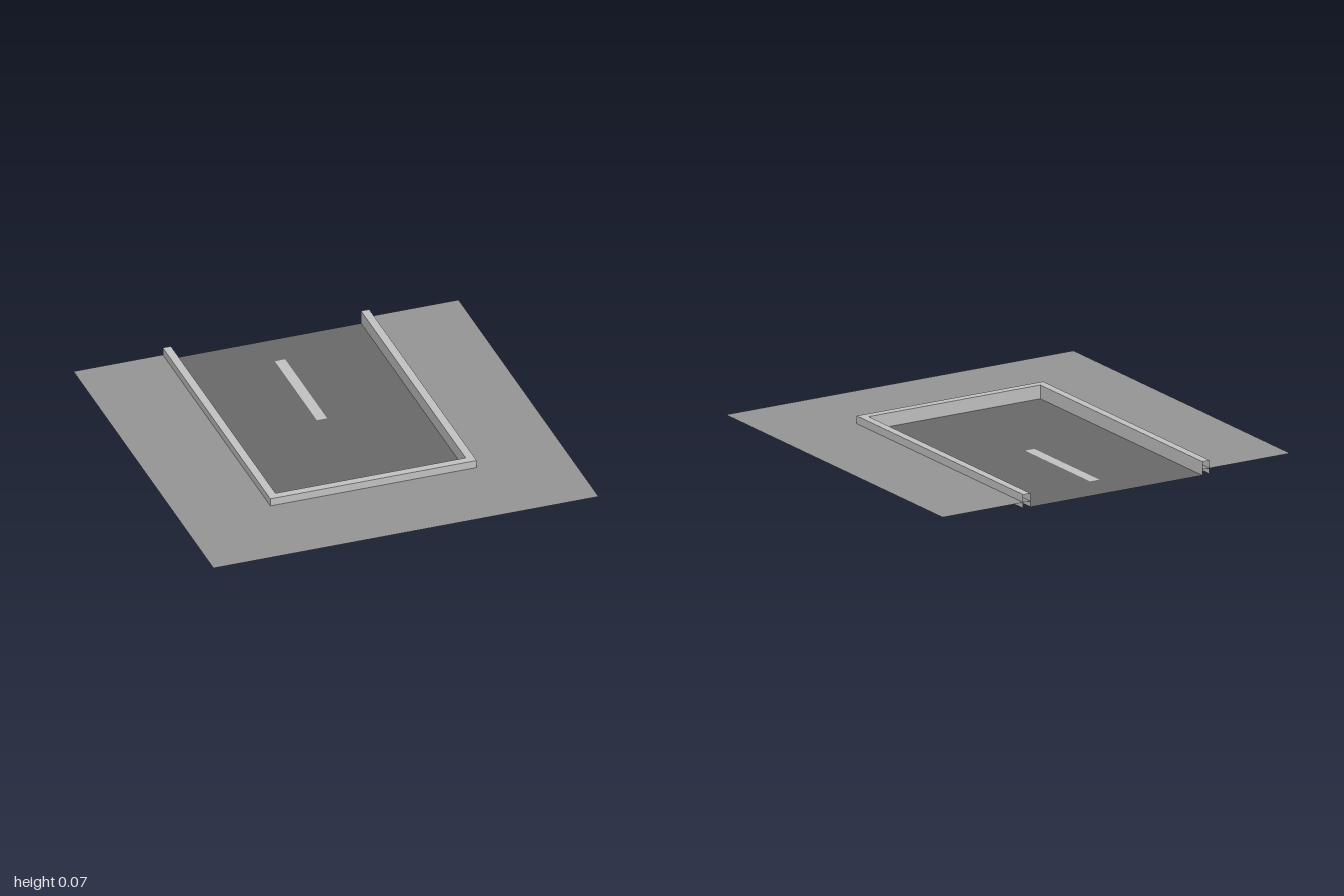
import * as THREE from 'three';

const OUTER = 0.536, INNER = 0.494, TOP = 0.07, GROUND = 0.03, BACK = -1;

function material(name, color) {
  const m = new THREE.MeshStandardMaterial({ color, side: THREE.DoubleSide });
  m.name = name;
  return m;
}

// U-shaped path around the road end, open at the back
const uPath = (h) => [[-h, BACK], [-h, h], [h, h], [h, BACK]];

// Sweeps a profile of [half width, height] pairs along the U path
function sweepU(profile) {
  const positions = [];
  for (let i = 0; i < profile.length - 1; i++) {
    const [h0, y0] = profile[i], [h1, y1] = profile[i + 1];
    const p = uPath(h0), q = uPath(h1);
    for (let j = 0; j < 3; j++) {
      const a = [p[j][0], y0, p[j][1]], b = [p[j + 1][0], y0, p[j + 1][1]];
      const c = [q[j + 1][0], y1, q[j + 1][1]], d = [q[j][0], y1, q[j][1]];
      positions.push(...a, ...b, ...c, ...a, ...c, ...d);
    }
  }
  const g = new THREE.BufferGeometry();
  g.setAttribute('position', new THREE.Float32BufferAttribute(positions, 3));
  g.computeVertexNormals();
  return g;
}

// Flat sheet facing up, outlined by [x, z] points
function sheet(points, y) {
  const shape = new THREE.Shape(points.map(([x, z]) => new THREE.Vector2(x, -z)));
  return new THREE.ShapeGeometry(shape).rotateX(-Math.PI / 2).translate(0, y, 0);
}

const rect = (w, z0, z1) => [[-w, z0], [-w, z1], [w, z1], [w, z0]];

export function createModel() {
  const group = new THREE.Group();
  group.name = 'roadEnd';
  const pavement = material('pavement grey', 0x969696);
  const asphalt = material('asphalt grey', 0x6a6a6a);
  const light = material('light grey', 0xc4c4c4);

  const add = (name, geometry, mat) => {
    const mesh = new THREE.Mesh(geometry, mat);
    mesh.name = name;
    group.add(mesh);
  };

  // Raised pavement wrapping three sides of the road
  add('pavement', sheet([[-1, BACK], [-1, 1], [1, 1], [1, BACK], ...uPath(INNER).reverse()], GROUND), pavement);
  // Sunken road surface
  add('road', sheet(rect(INNER, BACK, INNER), 0), asphalt);
  // Hollow kerb: outer wall, top and inner wall
  add('kerb', sweepU([[OUTER, 0], [OUTER, TOP], [INNER, TOP], [INNER, 0]]), light);
  // Painted centre line
  add('centreLine', sheet(rect(0.027, -0.8, -0.2), 0.002), light);

  return group;
}
